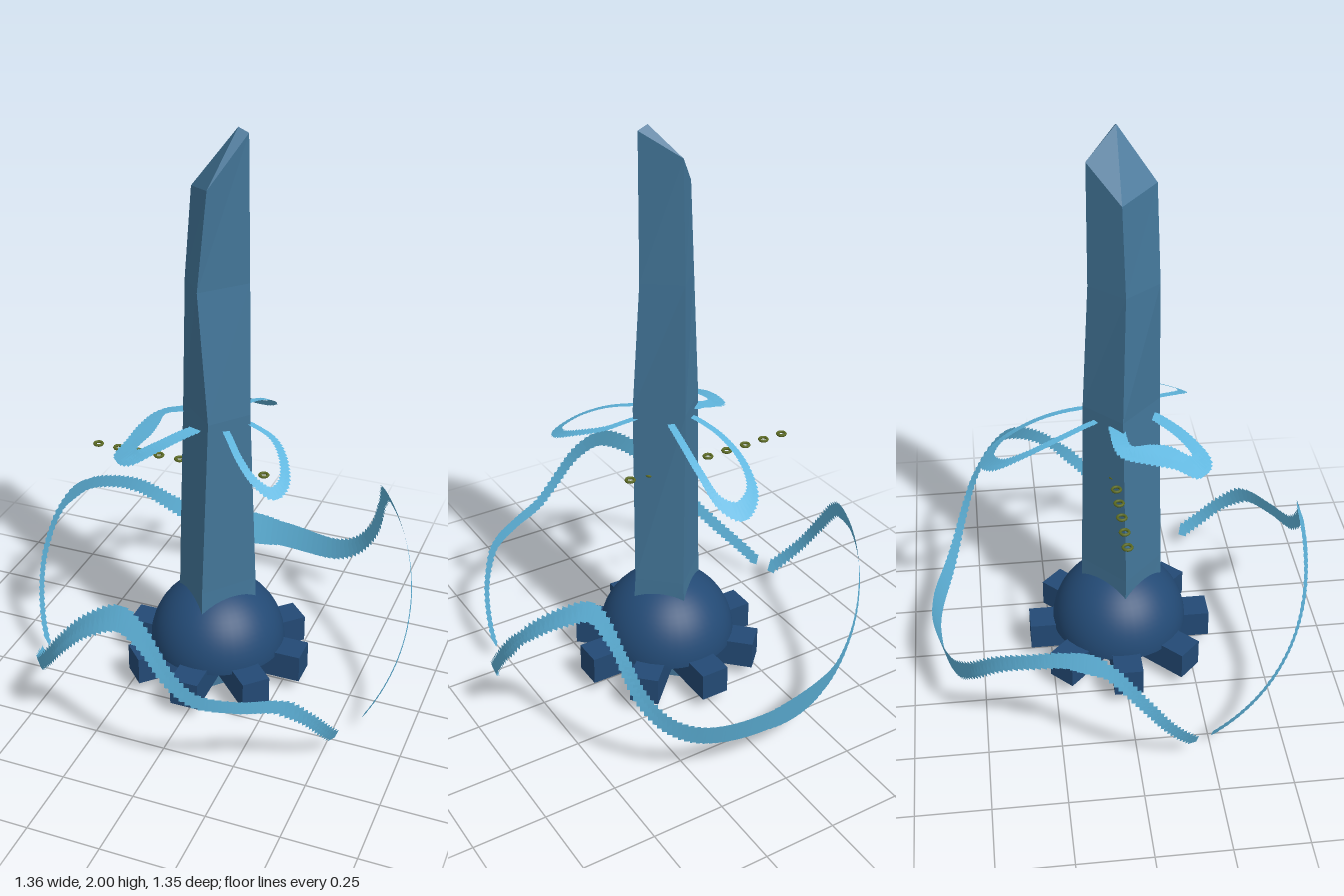
import * as THREE from 'three';
import { mergeGeometries } from 'three/addons/utils/BufferGeometryUtils.js';

const mat = (name, color, opts = {}) => {
  const m = new THREE.MeshStandardMaterial({ color, ...opts });
  m.name = name;
  return m;
};

// The ribbons all lie on one invisible sphere
const CENTER = new THREE.Vector3(0, 0.345, 0);
const RADIUS = 0.68;

// Point on the sphere from a compass angle (0 = front, 90 = +x) and a height
const atAngle = ([deg, y, w]) => {
  const r = Math.sqrt(RADIUS ** 2 - (y - CENTER.y) ** 2);
  const a = THREE.MathUtils.degToRad(deg);
  return [r * Math.sin(a), y, r * Math.cos(a), w];
};
// Point on the upper half of the sphere from x and z
const onTop = ([x, z, w]) => [x, CENTER.y + Math.sqrt(RADIUS ** 2 - x * x - z * z), z, w];

// A stepped ribbon: small upright tiles, tangent to the sphere, along a curve
function ribbon(points, tileWidth, spacing) {
  const path = new THREE.CatmullRomCurve3(points.map(p => new THREE.Vector3(p[0], p[1], p[2])));
  const widths = new THREE.CatmullRomCurve3(points.map(p => new THREE.Vector3(p[3], 0, 0)));
  const n = Math.round(path.getLength() / spacing);
  const tile = new THREE.Object3D();
  const tiles = [];
  for (let i = 0; i <= n; i++) {
    const t = path.getUtoTmapping(i / n);
    path.getPoint(t, tile.position);
    tile.position.sub(CENTER).setLength(RADIUS).add(CENTER);
    tile.lookAt(tile.position.clone().multiplyScalar(2).sub(CENTER));
    tile.updateMatrix();
    tiles.push(new THREE.PlaneGeometry(tileWidth, widths.getPoint(t).x).applyMatrix4(tile.matrix));
  }
  return mergeGeometries(tiles);
}

// Four-sided shard: rings of corners (front, +x, back, -x) closed by an apex
function shardGeometry() {
  const ring = (y, ...c) => c.map(([x, z]) => [x, y, z]);
  const rings = [
    ring(0, [0, 0.16], [0.15, 0], [0, -0.14], [-0.15, 0]),
    ring(0.4, [0, 0.15], [0.135, -0.015], [0.01, -0.13], [-0.14, 0.01]),
    ring(1.05, [0.02, 0.14], [0.12, 0.015], [0, -0.12], [-0.125, 0]),
    ring(1.5, [-0.02, 0.13], [0.105, -0.01], [-0.01, -0.1], [-0.11, 0.01]),
    [[0.01, 1.83, 0.12], [0.1, 1.985, 0], [0, 1.91, -0.1], [-0.09, 1.8, 0]],
  ];
  const apex = [0.065, 2, 0];
  const pos = [];
  const tri = (...v) => v.forEach(p => pos.push(...p));
  for (let i = 0; i < 4; i++) {
    const j = (i + 1) % 4;
    for (let k = 0; k < rings.length - 1; k++) {
      const [a, b, c, d] = [rings[k][i], rings[k][j], rings[k + 1][j], rings[k + 1][i]];
      tri(a, b, c);
      tri(a, c, d);
    }
    tri(rings[4][i], rings[4][j], apex);
    tri(rings[0][j], rings[0][i], [0, 0, 0]);
  }
  const g = new THREE.BufferGeometry();
  g.setAttribute('position', new THREE.Float32BufferAttribute(pos, 3));
  g.computeVertexNormals();
  return g;
}

export function createModel() {
  const model = new THREE.Group();
  const stone = mat('slate blue stone', 0x437699, { flatShading: true });
  const navy = mat('navy base', 0x234a75, { side: THREE.DoubleSide });
  const sky = mat('sky blue ribbon', 0x60b6de, { side: THREE.DoubleSide });
  const olive = mat('olive ring', 0x5c6b22);
  const add = (name, geometry, material, parent = model) => {
    const mesh = new THREE.Mesh(geometry, material);
    mesh.name = name;
    parent.add(mesh);
    return mesh;
  };

  add('obelisk', shardGeometry(), stone);

  // Domed base with eight radiating blocks
  const base = new THREE.Group();
  base.name = 'base';
  model.add(base);
  const dome = add('dome', new THREE.SphereGeometry(0.24, 40, 16, 0, Math.PI * 2, 0, Math.PI / 2), navy, base);
  dome.position.y = 0.13;
  for (let i = 0; i < 8; i++) {
    const block = add('block', new THREE.BoxGeometry(0.225, 0.1, 0.1).translate(0.2125, 0.097, 0), navy, base);
    block.rotation.y = i * Math.PI / 4;
  }

  // Wavy ribbons around the sides: [angle, height, width]
  const front = [
    [-65, 0.08, 0.04], [-49, 0.17, 0.045], [-36.5, 0.29, 0.05], [-27, 0.42, 0.06], [-18, 0.53, 0.075],
    [-7.5, 0.59, 0.085], [0, 0.55, 0.08], [8.5, 0.43, 0.06], [15, 0.365, 0.05], [26, 0.34, 0.045],
    [38, 0.32, 0.05], [46.5, 0.24, 0.05], [54, 0.14, 0.05], [59, 0.08, 0.05],
  ];
  const rear = [
    [75, 0.075, 0.035], [90, 0.235, 0.045], [98.5, 0.36, 0.05], [107.5, 0.48, 0.05], [118, 0.575, 0.06],
    [127, 0.615, 0.065], [133, 0.56, 0.06], [138, 0.46, 0.06], [142, 0.36, 0.065], [149, 0.25, 0.07],
    [158, 0.19, 0.08], [180, 0.18, 0.1], [202, 0.2, 0.1], [207, 0.215, 0.085], [216.5, 0.29, 0.065],
    [228, 0.4, 0.055], [238, 0.46, 0.05], [250, 0.5, 0.055], [260, 0.48, 0.055], [270, 0.35, 0.05],
    [278, 0.21, 0.045], [287, 0.08, 0.05],
  ];
  add('frontRibbon', ribbon(front.map(atAngle), 0.032, 0.022), sky);
  add('rearRibbon', ribbon(rear.map(atAngle), 0.032, 0.022), sky);

  // Three looped ribbons over the top: [x, z, width]
  const loops = {
    rearLoop: [
      [-0.055, -0.09, 0.02], [-0.09, -0.2, 0.025], [-0.1, -0.32, 0.03], [-0.07, -0.41, 0.05], [0, -0.445, 0.065],
      [0.05, -0.41, 0.05], [0.062, -0.3, 0.03], [0.055, -0.2, 0.025], [0.04, -0.1, 0.02],
    ],
    leftLoop: [
      [0.12, 0.01, 0.02], [0.21, 0.04, 0.025], [0.275, 0.12, 0.03], [0.3, 0.2, 0.04], [0.28, 0.25, 0.045],
      [0.22, 0.245, 0.035], [0.15, 0.195, 0.025], [0.07, 0.1, 0.02],
    ],
    rightLoop: [
      [-0.1, -0.02, 0.02], [-0.2, 0, 0.045], [-0.215, 0.08, 0.075], [-0.22, 0.15, 0.085], [-0.24, 0.22, 0.08],
      [-0.2, 0.25, 0.06], [-0.13, 0.21, 0.035], [-0.04, 0.12, 0.02],
    ],
  };
  for (const [name, pts] of Object.entries(loops)) {
    add(name, ribbon(pts.map(onTop), name === 'rightLoop' ? 0.05 : 0.024, 0.014), sky);
  }

  // Row of tiny rings passing through the obelisk
  for (let i = 0; i < 9; i++) {
    const ring = add('ring', new THREE.TorusGeometry(0.0145, 0.005, 6, 12).rotateX(Math.PI / 2), olive);
    ring.position.set(-0.46 + i * 0.077, 0.81, -0.025);
  }
  return model;
}
